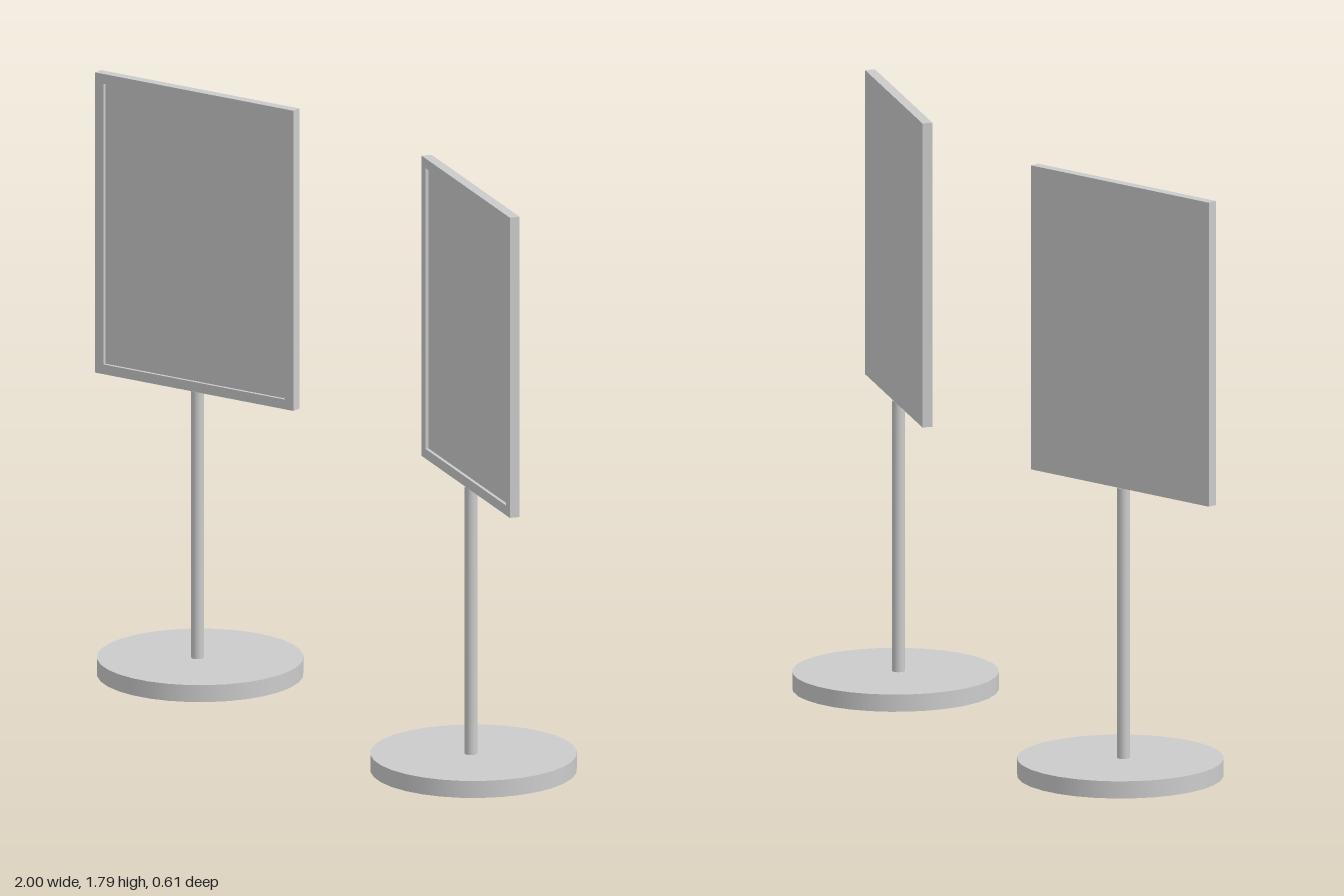
import * as THREE from 'three';

const W = 0.715, H = 0.92, T = 0.031, BORDER = 0.03, RECESS = 0.01;
const PANEL_BOTTOM = 0.87, BASE_H = 0.052, TILT = 0.292;

const material = new THREE.MeshStandardMaterial({ color: 0xcccccc });

function part(name, geometry, x, y, z) {
  const mesh = new THREE.Mesh(geometry, material);
  mesh.name = name;
  mesh.position.set(x, y, z);
  return mesh;
}

function rectangle(target, w, h) {
  target.moveTo(-w / 2, -h / 2);
  target.lineTo(w / 2, -h / 2);
  target.lineTo(w / 2, h / 2);
  target.lineTo(-w / 2, h / 2);
  target.closePath();
  return target;
}

// Panel: backing board with a raised rim around the front face
function createPanel() {
  const panel = new THREE.Group();
  panel.name = 'panel';

  const outline = rectangle(new THREE.Shape(), W, H);
  outline.holes.push(rectangle(new THREE.Path(), W - 2 * BORDER, H - 2 * BORDER));
  const frame = new THREE.ExtrudeGeometry(outline, { depth: T, bevelEnabled: false });
  panel.add(part('panelFrame', frame, 0, 0, -T / 2));

  const board = new THREE.BoxGeometry(W - 2 * BORDER, H - 2 * BORDER, T - RECESS);
  panel.add(part('panelBoard', board, 0, 0, -RECESS / 2));
  return panel;
}

// One stand: round foot, thin pole and a panel turned inwards
function createStand(side) {
  const stand = new THREE.Group();
  stand.name = side > 0 ? 'leftStand' : 'rightStand';
  stand.position.x = side * 0.654;

  const foot = new THREE.CylinderGeometry(0.305, 0.305, BASE_H, 32);
  stand.add(part('foot', foot, 0, BASE_H / 2, 0));

  const poleH = PANEL_BOTTOM - BASE_H;
  const pole = new THREE.CylinderGeometry(0.019, 0.019, poleH, 20);
  stand.add(part('pole', pole, 0, BASE_H + poleH / 2, 0.01));

  const panel = createPanel();
  panel.position.set(0, PANEL_BOTTOM + H / 2, 0.011);
  panel.rotation.y = -side * TILT;
  stand.add(panel);
  return stand;
}

export function createModel() {
  const model = new THREE.Group();
  model.name = 'pairOfDisplayStands';
  for (const side of [-1, 1]) model.add(createStand(side));
  return model;
}
